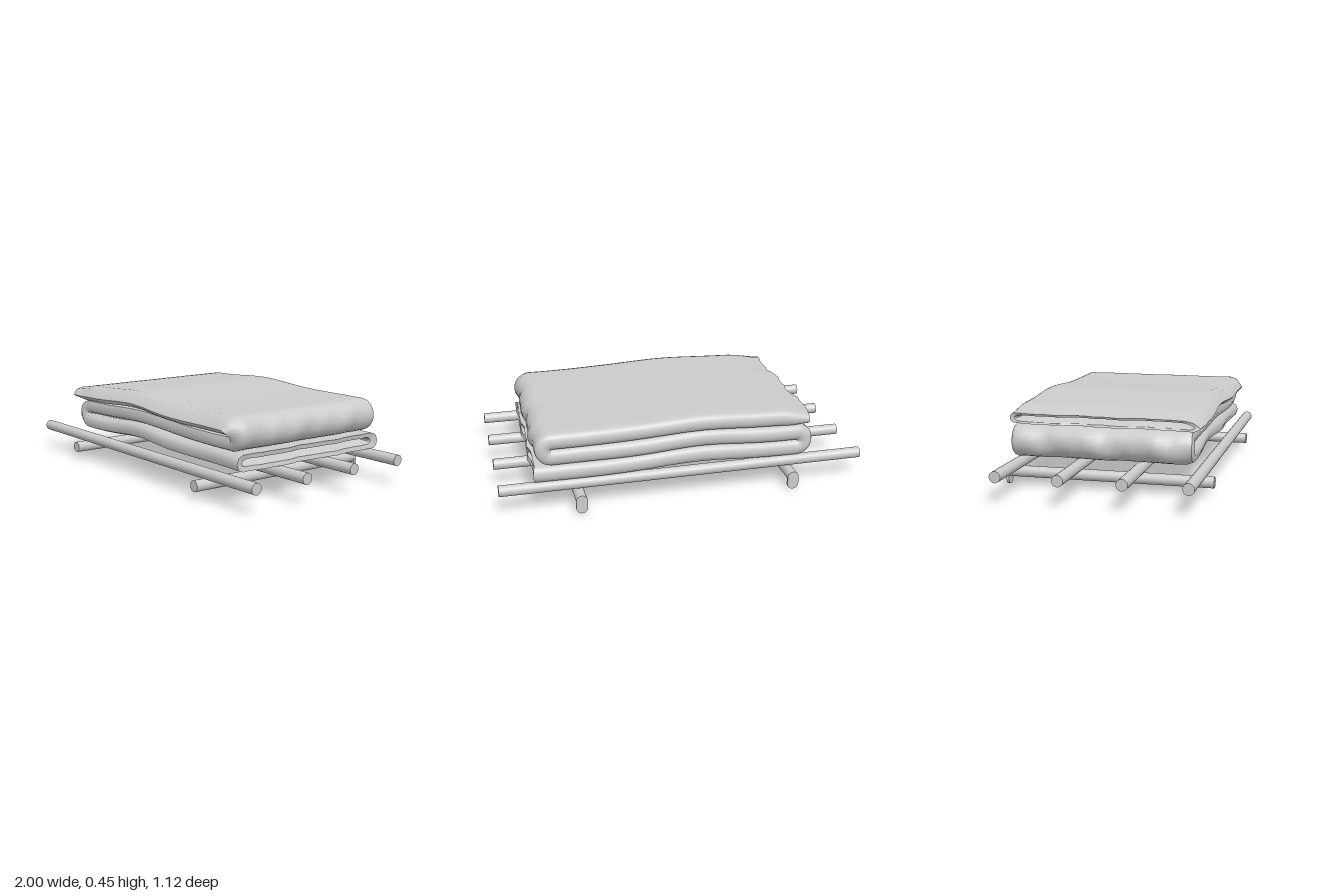
import * as THREE from 'three';
import { toCreasedNormals } from 'three/addons/utils/BufferGeometryUtils.js';

const material = new THREE.MeshStandardMaterial({ color: 0xcccccc });
const clothMaterial = new THREE.MeshStandardMaterial({ color: 0xcccccc, side: THREE.DoubleSide });
const { smoothstep, lerp } = THREE.MathUtils;

function pole(name, length, axis, x, y, z) {
  const geometry = new THREE.CylinderGeometry(0.03, 0.03, length, 24);
  if (axis === 'x') geometry.rotateZ(Math.PI / 2);
  else geometry.rotateX(Math.PI / 2);
  const mesh = new THREE.Mesh(geometry, material);
  mesh.name = name;
  mesh.position.set(x, y, z);
  return mesh;
}

// Pill-shaped plate hanging down from the back end of a cross pole
function foot(x) {
  const shape = new THREE.Shape();
  shape.absarc(0, 0.07, 0.031, 0, Math.PI);
  shape.absarc(0, 0.031, 0.031, Math.PI, Math.PI * 2);
  const geometry = new THREE.ExtrudeGeometry(shape, { depth: 0.014, bevelEnabled: false, curveSegments: 14 });
  const mesh = new THREE.Mesh(toCreasedNormals(geometry, 0.7), material);
  mesh.name = 'foot';
  mesh.position.set(x, 0, -0.56);
  return mesh;
}

// Z-shaped fold path: top layer, fold at +x, middle layer, fold at -x, bottom layer
function foldPath() {
  const path = [];
  const line = (x0, x1, y, dir) => {
    for (let i = 0; i <= 32; i++) path.push({ x: lerp(x0, x1, i / 32), y, nx: 0, ny: dir });
  };
  const arc = (cx, cy, turn) => {
    for (let i = 1; i < 12; i++) {
      const a = Math.PI / 2 - turn * Math.PI * i / 12;
      const c = Math.cos(a), s = Math.sin(a);
      path.push({ x: cx + 0.045 * c, y: cy + 0.045 * s, nx: turn * c, ny: turn * s });
    }
  };
  line(-0.7, 0.72, 0.39, 1);
  arc(0.72, 0.345, 1);
  line(0.72, -0.62, 0.3, -1);
  arc(-0.62, 0.255, -1);
  line(-0.62, 0.81, 0.21, 1);
  return path;
}

// Cross-section of one layer as [z, n]: pointed front on the top layer, rounded elsewhere
function section(topness) {
  const t = 0.043, f = lerp(0.465, 0.51, topness), b = -0.505;
  const points = [
    [f - lerp(0.04, 0.03, topness), -t], [f - 0.012, -t * 0.75], [f, lerp(0, -0.4, topness) * t],
    [f - lerp(0.012, 0.035, topness), t * 0.7], [f - lerp(0.04, 0.075, topness), t],
  ];
  for (let k = 1; k < 20; k++) points.push([lerp(f - 0.075, b + 0.04, k / 20), t]);
  for (let k = 0; k <= 8; k++) {
    const a = Math.PI / 2 - Math.PI * k / 8;
    points.push([b + 0.03 - 0.03 * Math.cos(a), t * Math.sin(a)]);
  }
  for (let k = 1; k < 20; k++) points.push([lerp(b + 0.04, f - 0.04, k / 20), -t]);
  return points;
}

// Uneven crumple across the width, -1 to 1
const crumple = (z, phase) =>
  0.5 * Math.sin(z * 17 + phase) + 0.3 * Math.sin(z * 37 + phase * 2) + 0.2 * Math.sin(z * 61 + 1);

function foldedCloth() {
  const path = foldPath();
  const last = path.length - 1;
  // Each ring: path station, thickness scale, width scale, shift along x.
  // The extra end rings turn the layers into hollow hems.
  const rings = path.map((p) => ({ p, n: 1, w: 1, dx: 0 }));
  rings.unshift({ p: path[0], n: 0.02, w: 0.9, dx: 0.08 }, { p: path[0], n: 0.6, w: 0.95, dx: 0.005 });
  rings.push({ p: path[last], n: 0.45, w: 0.93, dx: -0.005 }, { p: path[last], n: 0.02, w: 0.9, dx: -0.1 });

  const positions = [], index = [];
  let count = 0;
  for (const { p, n, w, dx } of rings) {
    const topness = smoothstep(p.y, 0.3, 0.385);
    const loop = section(topness);
    count = loop.length;
    for (const [z0, n0] of loop) {
      // Top layer thins towards its loose edge
      const thin = p.y > 0.38 ? lerp(0.62, 1, smoothstep(p.x, -0.7, -0.55)) : 1;
      let x = p.x + p.nx * n0 * n + dx;
      let y = p.y + p.ny * n0 * n * thin;
      let z = z0 * w;
      // Gentle swell across the stack, drooping at the loose edge
      y += 0.022 * Math.exp(-(((x + 0.08) / 0.27) ** 2));
      if (p.y > 0.38) y -= 0.012 * (1 - smoothstep(x, -0.7, -0.5));
      // Ragged ends and slightly wavy long sides
      x += 0.018 * crumple(z, p.y * 25) * (1 - smoothstep(x, -0.7, -0.55));
      x += 0.012 * crumple(z, p.y * 12 + 2) * smoothstep(x, 0.68, 0.8);
      z += 0.006 * Math.sin(x * 9 + p.y * 30) * smoothstep(Math.abs(z), 0.38, 0.45) * (z > 0 ? 1 : 0.4);
      positions.push(x, y, z);
    }
  }
  for (let i = 0; i < rings.length - 1; i++) {
    for (let j = 0; j < count; j++) {
      const a = i * count + j, b = i * count + (j + 1) % count;
      index.push(a, a + count, b, b, a + count, b + count);
    }
  }
  const geometry = new THREE.BufferGeometry();
  geometry.setAttribute('position', new THREE.Float32BufferAttribute(positions, 3));
  geometry.setIndex(index);
  const mesh = new THREE.Mesh(toCreasedNormals(geometry, 0.8), clothMaterial);
  mesh.name = 'foldedCloth';
  return mesh;
}

export function createModel() {
  const model = new THREE.Group();
  model.name = 'foldedClothOnPoleRack';

  // Four long poles carry the cloth
  for (const z of [0.505, 0.18, -0.145, -0.47]) model.add(pole('longPole', 2, 'x', 0, 0.135, z));

  // Two cross poles underneath, each with a foot at the back
  for (const x of [-0.585, 0.58]) {
    model.add(pole('crossPole', 1.115, 'z', x, 0.071, 0.0025));
    model.add(foot(x));
  }

  model.add(foldedCloth());
  return model;
}
